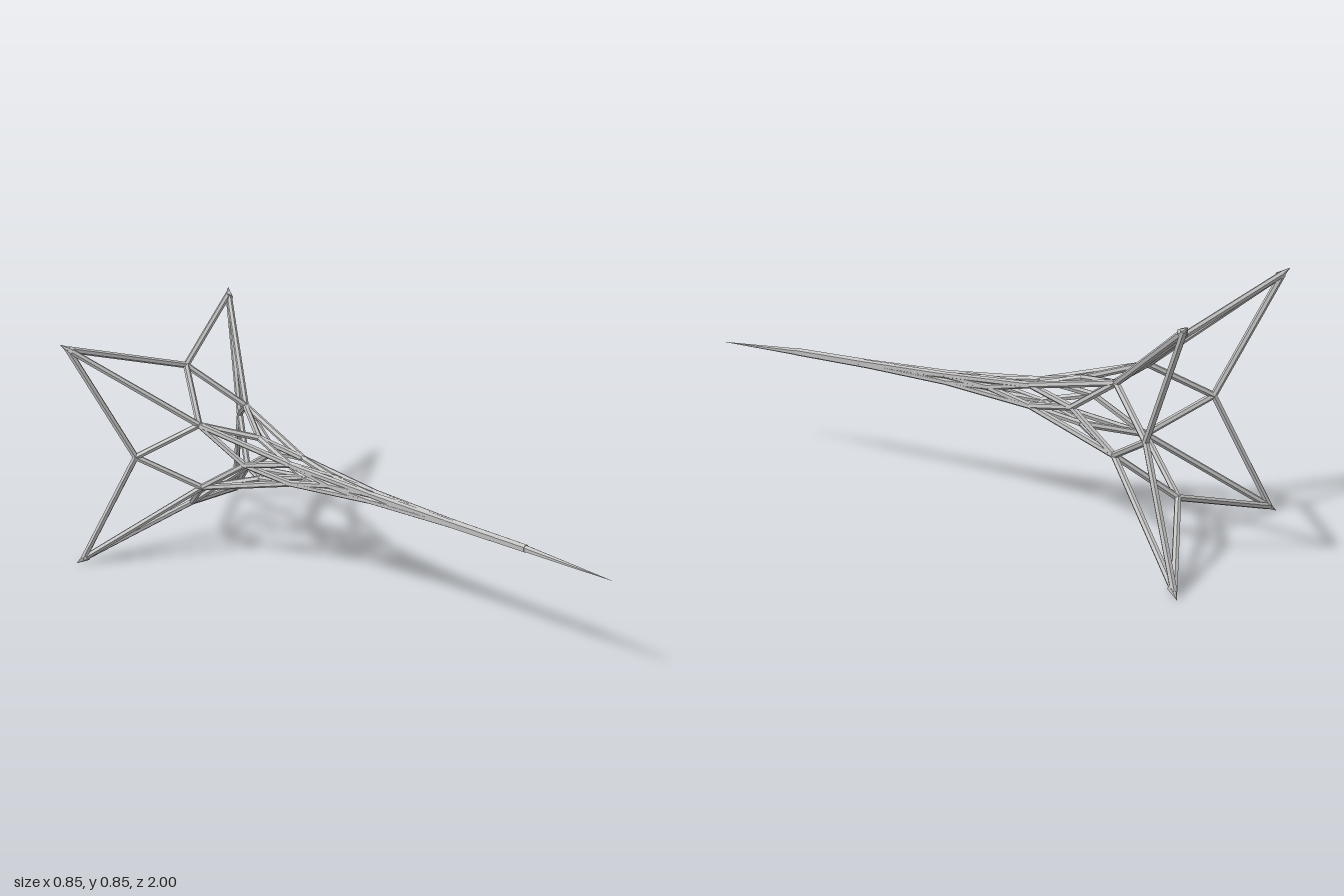
import * as THREE from 'three';

const CENTRE_Y = 0.425;
const RADIUS = 0.0115;

// Alternating rings: even rings sit on the diagonals, odd rings on the axes.
// Each entry is [offset from the centre line, z].
const RINGS = [
  [0.406, -0.982], [0.272, -0.815], [0.121, -0.64], [0.079, -0.465],
  [0.036, -0.29], [0.022, -0.12], [0.012, 0.05], [0.007, 0.21],
  [0.004, 0.37], [0.003, 0.53], [0.002, 0.68],
];

export function createModel() {
  const group = new THREE.Group();
  const metal = new THREE.MeshStandardMaterial({ color: 0xc0c0c0, flatShading: true });
  metal.name = 'light grey metal';

  // Straight six-sided rod between two points, optionally tapered
  function rod(name, a, b, ra = RADIUS, rb = RADIUS) {
    const dir = b.clone().sub(a);
    const mesh = new THREE.Mesh(new THREE.CylinderGeometry(rb, ra, dir.length(), 6), metal);
    mesh.position.copy(a).add(b).multiplyScalar(0.5);
    mesh.quaternion.setFromUnitVectors(new THREE.Vector3(0, 1, 0), dir.normalize());
    mesh.name = name;
    group.add(mesh);
  }

  function node(level, i) {
    const [c, z] = RINGS[level];
    const diagonal = level % 2 === 0;
    const angle = (i + (diagonal ? 0.5 : 0)) * Math.PI / 2;
    const r = diagonal ? c * Math.SQRT2 : c;
    return new THREE.Vector3(r * Math.cos(angle), CENTRE_Y + r * Math.sin(angle), z);
  }

  for (let i = 0; i < 4; i++) {
    for (let level = 0; level + 2 < RINGS.length; level += 2) {
      // Diagonal rib, and the lattice rods around the axis nodes beside it
      rod('rib', node(level, i), node(level + 2, i));
      for (const side of [i, i + 1]) {
        const mid = node(level + 1, side);
        rod('latticeRod', node(level, i), mid);
        rod('latticeRod', mid, node(level + 2, i));
      }
    }

    // Sharp points at the four flared corners
    const start = node(0, i);
    const apex = new THREE.Vector3(
      Math.sign(start.x) * 0.424, CENTRE_Y + Math.sign(start.y - CENTRE_Y) * 0.424, -1);
    const base = start.clone().lerp(node(2, i), 0.03);
    rod('cornerPoint', base, apex, 0.016, 0.0005);
  }

  // Needle tip
  rod('needleTip', new THREE.Vector3(0, CENTRE_Y, 0.66),
    new THREE.Vector3(0, CENTRE_Y - 0.01, 1), 0.0135, 0.0005);

  return group;
}
